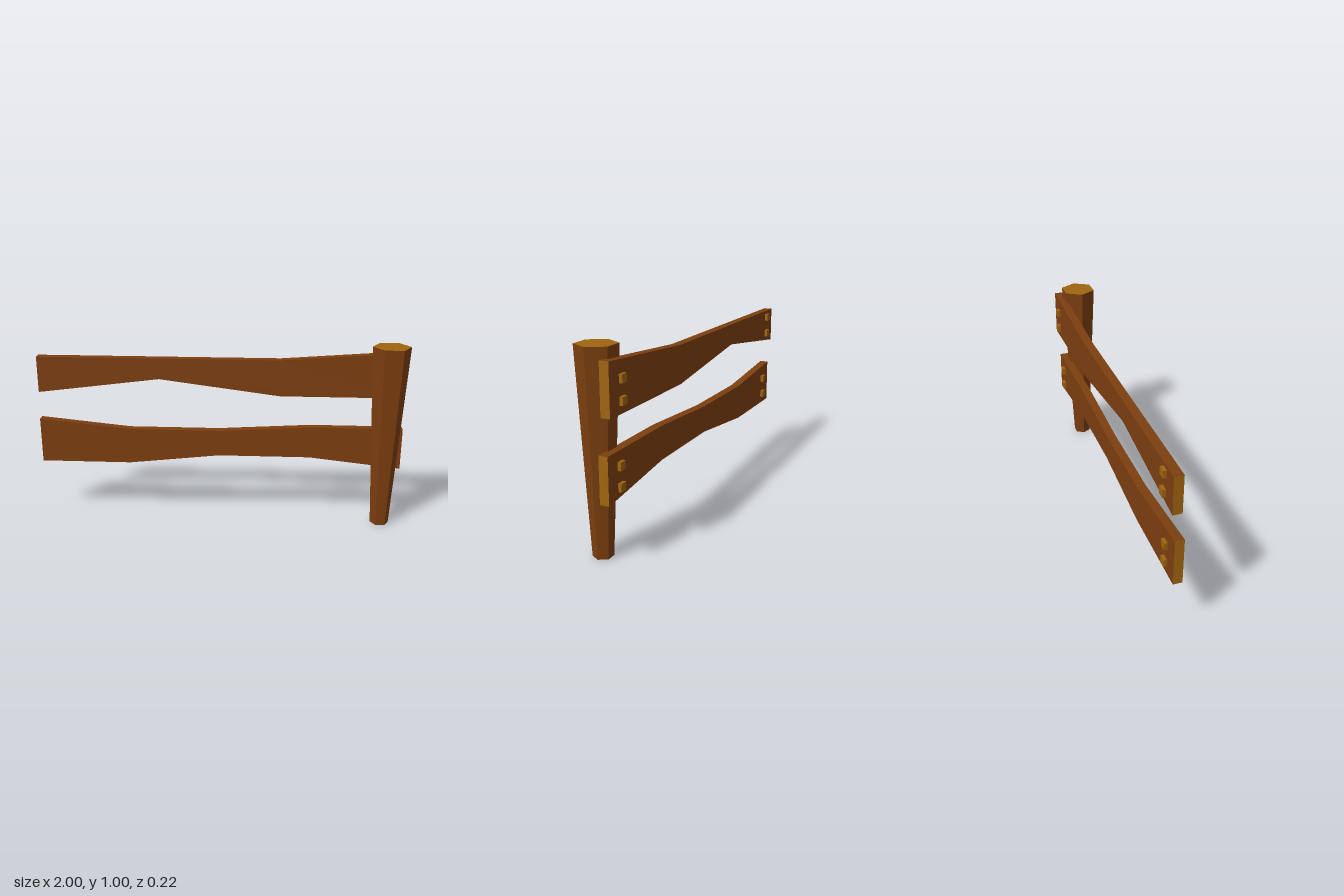
import * as THREE from 'three';

const bark = new THREE.MeshStandardMaterial({ color: 0x7d3f0f });
bark.name = 'brown wood';
const cut = new THREE.MeshStandardMaterial({ color: 0xa0650f });
cut.name = 'cut wood';

// Rail: a side outline extruded in z, with the sawn ends in the lighter wood
function makeRail(name, top, bottom, zBack, zFront) {
  const outline = [...bottom, ...top.slice().reverse()].map(([x, y]) => new THREE.Vector2(x, y));
  const geometry = new THREE.ExtrudeGeometry(new THREE.Shape(outline), {
    depth: zFront - zBack, bevelEnabled: false,
  });
  geometry.translate(0, 0, zBack);
  geometry.clearGroups();
  const normal = geometry.attributes.normal;
  for (let i = 0; i < normal.count; i += 3) {
    geometry.addGroup(i, 3, Math.abs(normal.getX(i)) > 0.99 ? 1 : 0);
  }
  const rail = new THREE.Mesh(geometry, [bark, cut]);
  rail.name = name;
  return rail;
}

// Two square pegs at each end, standing out from the back of a rail
function makePegs(name, heights, zBack) {
  const pegs = new THREE.Group();
  pegs.name = name;
  for (const x of [-0.9, 0.9]) {
    for (const y of heights) {
      const peg = new THREE.Mesh(new THREE.BoxGeometry(0.04, 0.04, 0.03), cut);
      peg.position.set(x, y, zBack - 0.002);
      peg.name = 'peg';
      pegs.add(peg);
    }
  }
  return pegs;
}

export function createModel() {
  const fence = new THREE.Group();
  fence.name = 'fence';

  // Tapered six-sided post
  const postGeometry = new THREE.CylinderGeometry(0.1, 0.05, 1, 6).toNonIndexed();
  postGeometry.computeVertexNormals();
  postGeometry.rotateY(Math.PI / 6);
  const post = new THREE.Mesh(postGeometry, [bark, cut, bark]);
  post.position.set(0.9, 0.5, 0.025);
  post.name = 'post';

  const upperRail = makeRail('upperRail',
    [[-1, 0.9], [0.33, 0.9], [1, 0.95]],
    [[-1, 0.7], [-0.33, 0.785], [0.33, 0.7], [1, 0.7]],
    -0.095, -0.048);
  const lowerRail = makeRail('lowerRail',
    [[-1, 0.55], [-0.5, 0.5], [0, 0.5], [0.5, 0.53], [1, 0.53]],
    [[-1, 0.3], [-0.5, 0.3], [0, 0.355], [0.5, 0.355], [1, 0.3]],
    -0.077, -0.03);

  fence.add(post, upperRail, lowerRail,
    makePegs('upperPegs', [0.76, 0.86], -0.095),
    makePegs('lowerPegs', [0.36, 0.46], -0.077));
  return fence;
}
